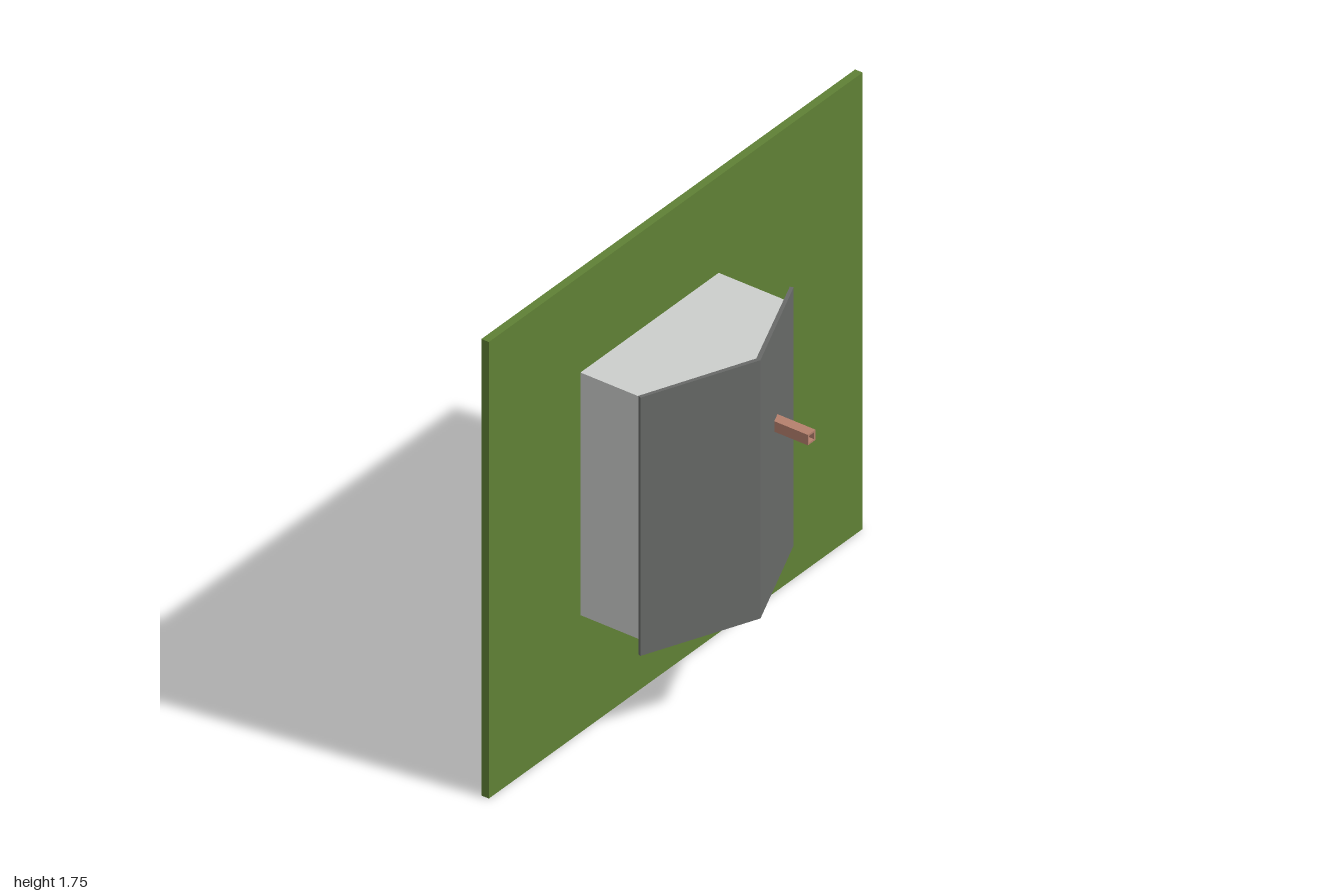
import * as THREE from 'three';

const mat = (name, color) => {
  const m = new THREE.MeshStandardMaterial({ color });
  m.name = name;
  return m;
};

export function createModel() {
  const green = mat('green panel', 0x5f8035);
  const light = mat('light grey', 0xcccecc);
  const dark = mat('dark grey', 0x676967);
  const mid = mat('mid grey', 0xaaacaa);
  const brown = mat('brown', 0xb5806d);

  const model = new THREE.Group();
  const add = (name, geometry, material) => {
    const mesh = new THREE.Mesh(geometry, material);
    mesh.name = name;
    model.add(mesh);
    return mesh;
  };
  // Box given by its two opposite corners
  const box = (name, material, [x0, y0, z0], [x1, y1, z1]) => {
    const g = new THREE.BoxGeometry(x1 - x0, y1 - y0, z1 - z0);
    g.translate((x0 + x1) / 2, (y0 + y1) / 2, (z0 + z1) / 2);
    return add(name, g, material);
  };
  const polygon = (points) => new THREE.Shape(points.map(([x, y]) => new THREE.Vector2(x, y)));
  const rect = (x0, y0, x1, y1) => polygon([[x0, y0], [x1, y0], [x1, y1], [x0, y1]]);
  const extrude = (shape, depth) => new THREE.ExtrudeGeometry(shape, { depth, bevelEnabled: false });
  // Plan outline given as [x, z], raised from y0 to y1
  const planPrism = (name, material, points, y0, y1) => {
    const g = extrude(polygon(points.map(([x, z]) => [x, -z])), y1 - y0);
    g.rotateX(-Math.PI / 2).translate(0, y0, 0);
    return add(name, g, material);
  };

  const L = -0.51, R = 0.23, mx = -0.14, bottom = 0.45, top = 1.38, wall = 0.04;

  // Large upright panel
  box('mountingPanel', green, [-1, 0, -0.23], [1, 1.75, -0.2]);

  // Gabled end walls
  const gable = [[L, -0.2], [R, -0.2], [R, 0.07], [mx, 0.228], [L, 0.07]];
  planPrism('lowerEndWall', light, gable, bottom, bottom + wall);
  planPrism('upperEndWall', light, gable, top - wall, top);

  // Closed side wall with its inner lining
  box('rightSideWall', light, [L, bottom + wall, -0.2], [L + wall, top - wall, 0.07]);
  box('innerLining', mid, [L + wall, bottom + wall, -0.2], [L + wall + 0.005, top - wall, 0.08]);

  // Side wall with two openings
  const side = rect(-0.07, bottom + wall, 0.2, top - wall);
  for (const [y0, y1] of [[0.55, 0.79], [1.12, 1.24]]) {
    side.holes.push(rect(-0.03, y0, 0.19, y1));
  }
  const sideGeometry = extrude(side, wall);
  sideGeometry.rotateY(Math.PI / 2).translate(R - wall, 0, 0);
  add('leftSideWall', sideGeometry, light);

  // Small open flap by the upper opening
  box('flap', brown, [R - 0.03, 1.12, -0.199], [R + 0.006, 1.24, -0.19]);

  // Two roof slopes meeting at the ridge
  for (const s of [-1, 1]) {
    const slope = [[mx, 0.23], [mx + s * 0.405, 0.06], [mx + s * 0.41, 0.072], [mx, 0.247]];
    planPrism(s < 0 ? 'rightRoofSlope' : 'leftRoofSlope', dark, slope, 0.42, 1.41);
  }

  // Hollow square chimney
  const flue = rect(0.03, 1.02, 0.07, 1.06);
  flue.holes.push(rect(0.037, 1.027, 0.063, 1.053));
  add('chimney', extrude(flue, 0.16).translate(0, 0, 0.15), brown);

  // Rear frame and its recessed backing
  const frame = rect(L + 0.003, bottom + 0.003, R - 0.003, top - 0.003);
  frame.holes.push(rect(L + wall, bottom + wall, R - wall, top - wall));
  add('rearFrame', extrude(frame, 0.08).translate(0, 0, -0.31), light);
  box('rearBacking', dark, [L + wall, bottom + wall, -0.236], [R - wall, top - wall, -0.229]);

  return model;
}
